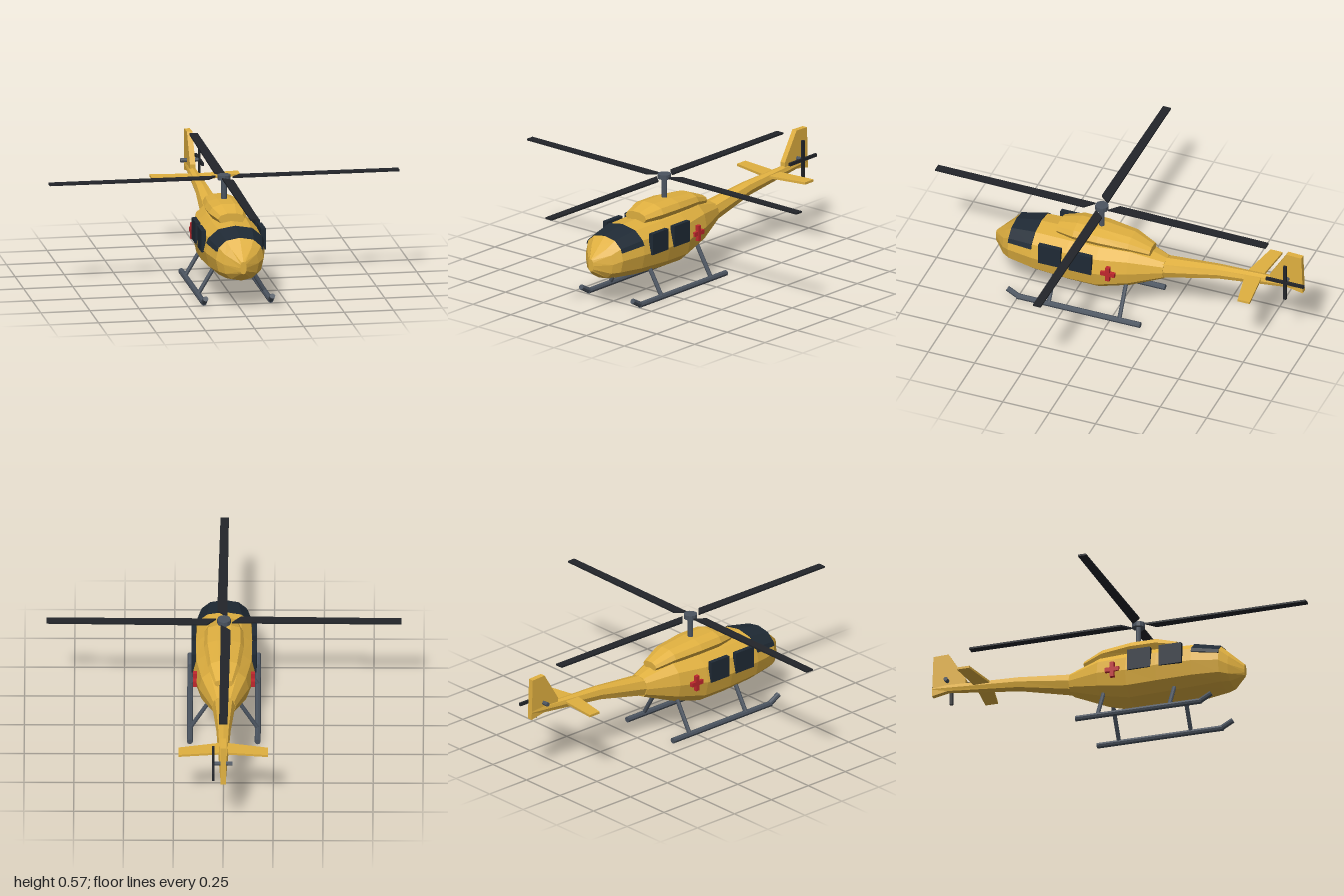
import * as THREE from 'three';

const mat = (color) => new THREE.MeshStandardMaterial({ color, flatShading: true });

export function createModel() {
  const model = new THREE.Group();
  const yellow = mat(0xe0b040), glass = mat(0x1f2a35), blade = mat(0x22252a);
  const metal = mat(0x4b5460), red = mat(0xc0282d);

  const add = (name, geometry, material, parent = model) => {
    const mesh = new THREE.Mesh(geometry, material);
    mesh.name = name;
    parent.add(mesh);
    return mesh;
  };

  // Closed loft from nose to tail; station = [z, bottom, top, halfWidth], angles in degrees
  const loft = (stations, angles, power = 2, scale = 1) => {
    const soft = (v) => Math.sign(v) * Math.abs(v) ** (2 / power);
    const rings = stations.map(([z, bottom, top, half]) => angles.map((deg) => {
      const a = THREE.MathUtils.degToRad(deg);
      return new THREE.Vector3(half * scale * soft(Math.cos(a)),
        (bottom + top) / 2 + (top - bottom) / 2 * scale * soft(Math.sin(a)), z);
    }));
    const pts = [], n = angles.length;
    for (let i = 0; i < rings.length - 1; i++) {
      for (let j = 0; j < n; j++) {
        const k = (j + 1) % n;
        const a = rings[i][j], b = rings[i][k], c = rings[i + 1][k], d = rings[i + 1][j];
        pts.push(a, d, b, b, d, c);
      }
    }
    const first = rings[0], last = rings[rings.length - 1];
    for (let j = 1; j < n - 1; j++) {
      pts.push(first[0], first[j], first[j + 1], last[0], last[j + 1], last[j]);
    }
    const geometry = new THREE.BufferGeometry().setFromPoints(pts);
    geometry.computeVertexNormals();
    return geometry;
  };
  const around = (count) => Array.from({ length: count }, (_, i) => i * 360 / count);

  // Flat plate cut from an outline, centred through its thickness
  const plate = (outline, depth) => new THREE.ExtrudeGeometry(
    new THREE.Shape(outline.map(([x, y]) => new THREE.Vector2(x, y))),
    { depth, bevelEnabled: false }).translate(0, 0, -depth / 2);

  // Round bar between two points
  const bar = (from, to, radius, sides = 8) => {
    const a = new THREE.Vector3(...from), b = new THREE.Vector3(...to);
    const dir = b.clone().sub(a);
    const q = new THREE.Quaternion().setFromUnitVectors(new THREE.Vector3(0, 1, 0), dir.clone().normalize());
    const mid = a.add(b).multiplyScalar(0.5);
    return new THREE.CylinderGeometry(radius, radius, dir.length(), sides)
      .applyQuaternion(q).translate(mid.x, mid.y, mid.z);
  };

  // Cabin and tail boom
  const cabin = [
    [0.675, 0.2, 0.265, 0.016], [0.61, 0.152, 0.325, 0.09], [0.57, 0.145, 0.363, 0.122],
    [0.435, 0.13, 0.388, 0.15], [0.25, 0.12, 0.392, 0.16], [0.09, 0.117, 0.392, 0.155],
    [-0.07, 0.16, 0.39, 0.125], [-0.24, 0.23, 0.34, 0.06],
  ];
  add('fuselage', loft(cabin, around(12), 2.4), yellow);
  add('tailBoom', loft([
    [-0.1, 0.19, 0.365, 0.085], [-0.24, 0.235, 0.34, 0.058],
    [-0.52, 0.298, 0.37, 0.036], [-0.975, 0.35, 0.388, 0.015],
  ], around(8), 2.4), yellow);

  // Wraparound windscreen sits just proud of the cabin
  add('windscreen', loft(cabin.slice(2, 4), [18, 30, 60, 90, 120, 150, 162], 2.4, 1.03), glass);

  // Engine cowling
  add('engineCowling', loft([
    [0.33, 0.37, 0.43, 0.068], [0.23, 0.365, 0.455, 0.098], [0.1, 0.365, 0.453, 0.1],
    [-0.06, 0.36, 0.438, 0.08], [-0.165, 0.35, 0.395, 0.048],
  ], around(10), 2.2), yellow);

  // Side windows, crosses and landing skids
  for (const [side, s] of [['left', 1], ['right', -1]]) {
    for (const [place, z] of [['Front', 0.33], ['Rear', 0.165]]) {
      add(`${side}${place}Window`, new THREE.BoxGeometry(0.024, 0.11, 0.12), glass)
        .position.set(s * 0.152, 0.305, z);
    }
    const cross = new THREE.Group();
    cross.name = `${side}Cross`;
    cross.position.set(s * 0.146, 0.27, 0.02);
    add('crossUpright', new THREE.BoxGeometry(0.02, 0.08, 0.022), red, cross);
    add('crossBar', new THREE.BoxGeometry(0.0195, 0.022, 0.075), red, cross);
    model.add(cross);

    const x = s * 0.17;
    add(`${side}Skid`, bar([x, 0.016, -0.165], [x, 0.016, 0.5], 0.015), metal);
    add(`${side}SkidToe`, bar([x, 0.016, 0.49], [x, 0.05, 0.552], 0.014), metal);
    for (const [place, z] of [['Front', 0.33], ['Rear', -0.05]]) {
      add(`${side}${place}Strut`, bar([x, 0.02, z], [s * 0.075, 0.18, z], 0.011), metal);
    }
  }

  // Main rotor: mast, hub and four blades with slanted roots
  const rotor = new THREE.Group();
  rotor.name = 'mainRotor';
  rotor.position.set(0, 0.563, 0.11);
  model.add(rotor);
  add('mast', new THREE.CylinderGeometry(0.014, 0.014, 0.14, 10).translate(0, -0.065, 0), metal, rotor);
  add('hub', new THREE.CylinderGeometry(0.034, 0.034, 0.024, 12), metal, rotor);
  const bladeOutline = [[0.04, 0.016], [0.085, -0.034], [0.89, -0.021], [0.89, 0.021]];
  for (let i = 0; i < 4; i++) {
    add('mainBlade', plate(bladeOutline, 0.009).rotateX(Math.PI / 2), blade, rotor)
      .rotation.y = i * Math.PI / 2;
  }

  // Tail fin and tapered horizontal stabilizer
  add('tailFin', plate([
    [-0.8, 0.375], [-0.8, 0.4], [-0.89, 0.548], [-0.97, 0.545], [-0.978, 0.33], [-0.9, 0.345],
  ], 0.028).rotateY(-Math.PI / 2), yellow);
  add('stabilizer', plate([
    [-0.225, -0.775], [0, -0.752], [0.225, -0.775], [0.225, -0.71], [0, -0.665], [-0.225, -0.71],
  ], 0.012).rotateX(Math.PI / 2).translate(0, 0.36, 0), yellow);

  // Tail rotor on the left side
  const tailRotor = new THREE.Group();
  tailRotor.name = 'tailRotor';
  tailRotor.position.set(0, 0.4, -0.896);
  model.add(tailRotor);
  add('tailAxle', bar([-0.046, 0, 0], [0.052, 0, 0], 0.011), metal, tailRotor);
  for (let i = 0; i < 2; i++) {
    add('tailBlade', new THREE.BoxGeometry(0.012, 0.204, 0.016).translate(0.05, 0, 0), blade, tailRotor)
      .rotation.x = i * Math.PI / 2;
  }

  return model;
}
